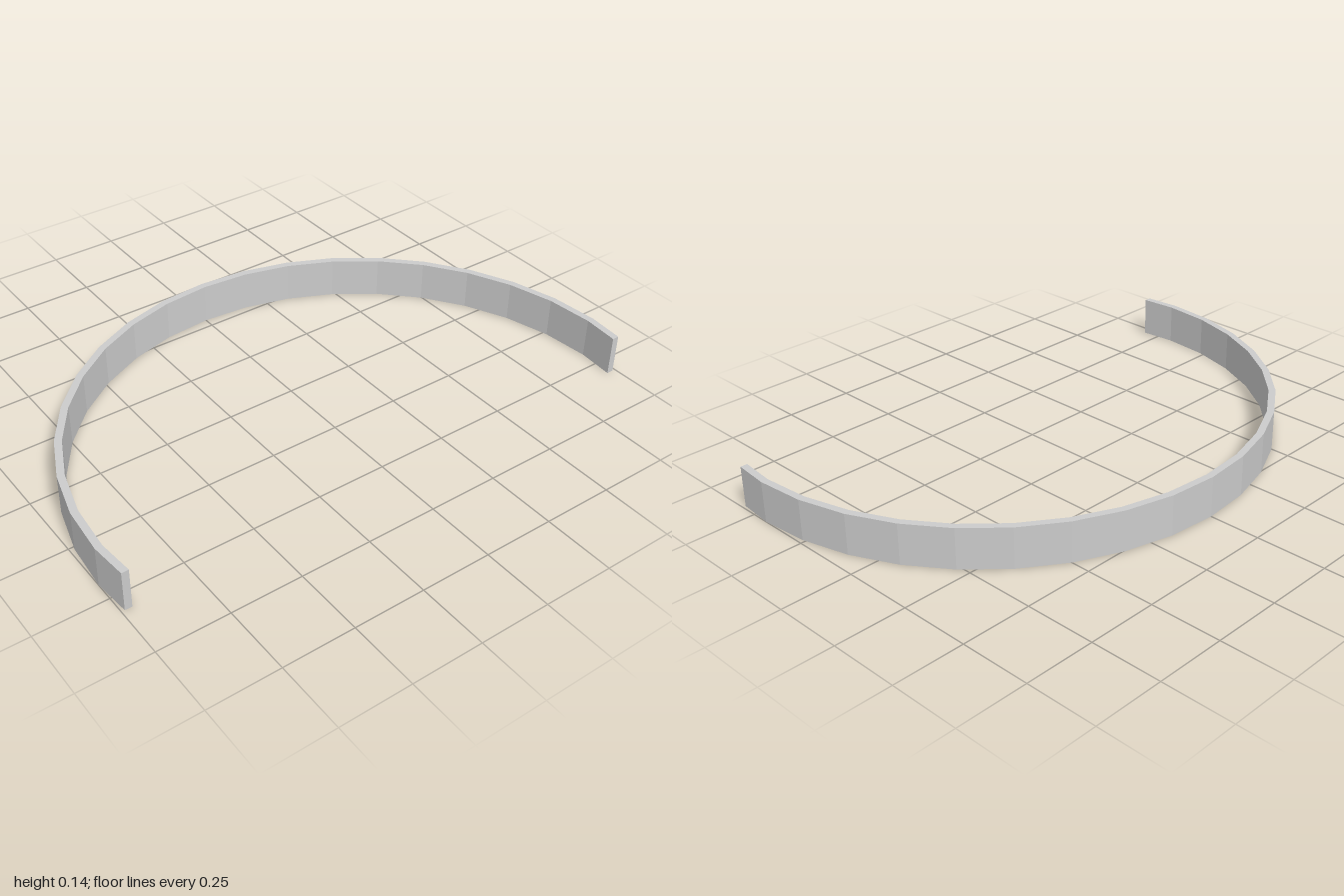
import * as THREE from 'three';

const OUTER = 1, INNER = 0.975, HEIGHT = 0.145;
const CENTRE_Z = 0.435, END_Z = 0.565; // arc centre and flat cut of both ends
const STEP = Math.PI / 18; // 36-sided ring

// Faceted arc from the right end round the back to the left end,
// with the last facets trimmed flat at END_Z
function arcPoints(radius) {
  const points = [];
  for (let i = -9; i <= 9; i++) {
    const a = i * STEP;
    points.push(new THREE.Vector2(radius * Math.sin(a), radius * Math.cos(a) - CENTRE_Z));
  }
  const endX = radius - (END_Z - CENTRE_Z) * Math.tan(STEP / 2);
  points.unshift(new THREE.Vector2(-endX, -END_Z));
  points.push(new THREE.Vector2(endX, -END_Z));
  return points;
}

export function createModel() {
  const group = new THREE.Group();
  group.name = 'openBand';

  // Thin band: outer arc out, inner arc back, extruded upwards
  const shape = new THREE.Shape([...arcPoints(OUTER), ...arcPoints(INNER).reverse()]);
  const geometry = new THREE.ExtrudeGeometry(shape, { depth: HEIGHT, bevelEnabled: false });
  geometry.rotateX(-Math.PI / 2);

  const band = new THREE.Mesh(
    geometry,
    new THREE.MeshStandardMaterial({ color: 0xcccccc, flatShading: true })
  );
  band.name = 'curvedBand';
  group.add(band);
  return group;
}
